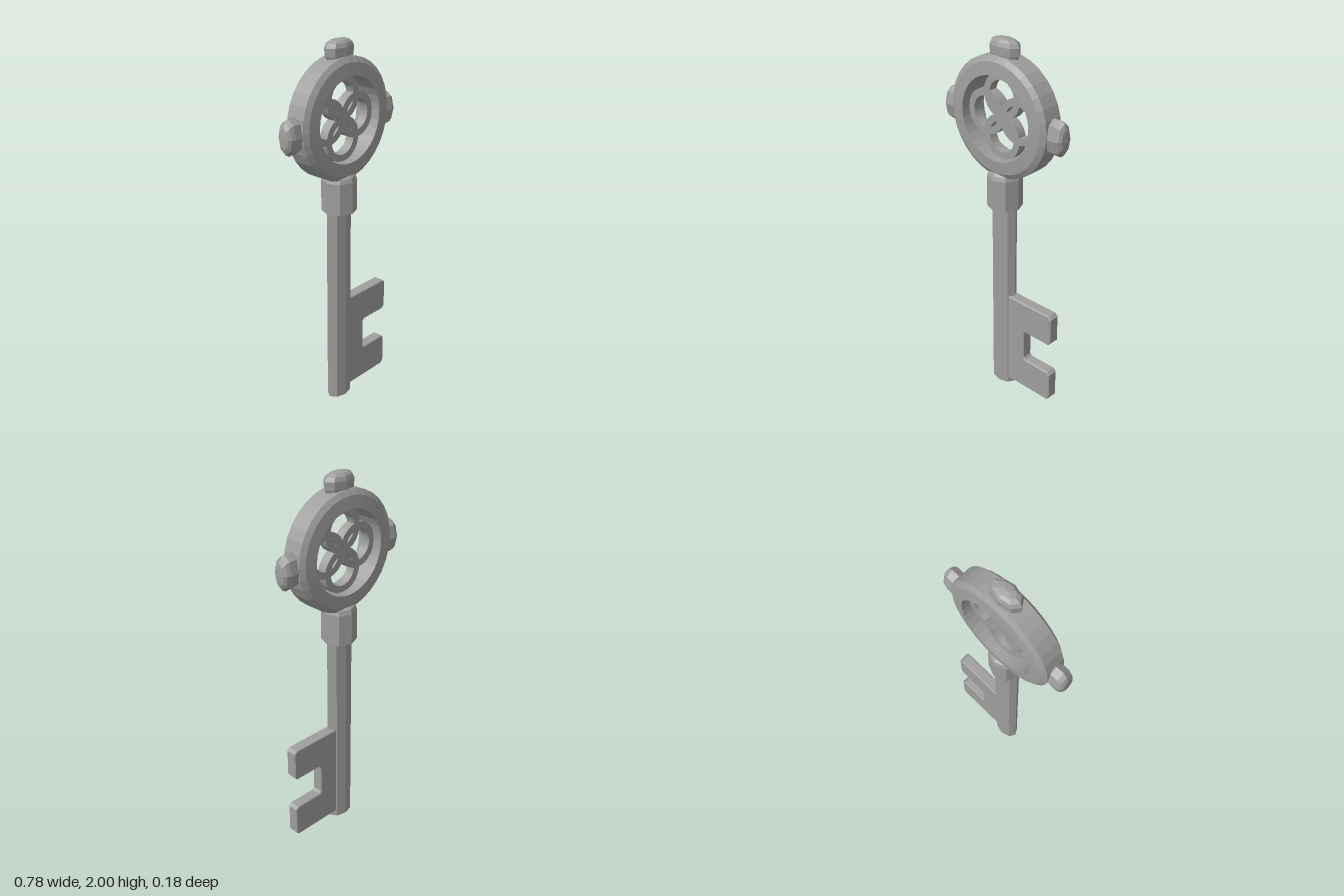
import * as THREE from 'three';

export function createModel() {
  const model = new THREE.Group();
  const material = new THREE.MeshStandardMaterial({ color: 0x9e9e9e, flatShading: true });
  const CENTER = 1.608; // height of the bow's centre

  const add = (name, geometry, parent = model) => {
    const mesh = new THREE.Mesh(geometry, material);
    mesh.name = name;
    parent.add(mesh);
    return mesh;
  };
  // Lathe from [radius, height] pairs
  const lathe = (points, sides) =>
    new THREE.LatheGeometry(points.map(([r, y]) => new THREE.Vector2(r, y)), sides);

  // Shaft: flattened octagonal rod
  const shaft = add('shaft', new THREE.CylinderGeometry(0.076, 0.076, 1.15, 8));
  shaft.scale.z = 0.66;
  shaft.position.set(-0.002, 0.575, 0);

  // Collar joining the shaft to the bow
  add('collar', lathe([[0, 1.118], [0.092, 1.118], [0.092, 1.285], [0.084, 1.308], [0.06, 1.325], [0, 1.332]], 8));

  // Bow: ring with gently sloping faces, closed profile turned to face the front
  const bow = new THREE.Group();
  bow.name = 'bow';
  bow.position.y = CENTER;
  model.add(bow);
  const ring = add('bowRing', lathe([
    [0.22, -0.076], [0.285, -0.069], [0.312, -0.052],
    [0.312, 0.052], [0.285, 0.069], [0.22, 0.076], [0.22, -0.076],
  ], 32), bow);
  ring.rotation.x = Math.PI / 2;

  // Tracery: four overlapping flat rings
  const circle = new THREE.Shape().absarc(0, 0, 0.118, 0, Math.PI * 2);
  circle.holes.push(new THREE.Path().absarc(0, 0, 0.081, 0, Math.PI * 2, true));
  const traceryGeometry = new THREE.ExtrudeGeometry(circle, { depth: 0.05, bevelEnabled: false, curveSegments: 20 });
  traceryGeometry.translate(0, 0, -0.025);
  for (let i = 0; i < 4; i++) {
    const a = i * Math.PI / 2;
    add('traceryRing', traceryGeometry, bow).position.set(Math.cos(a) * 0.105, Math.sin(a) * 0.105, 0);
  }

  // Studs: domed, flattened octagonal knobs on the top and both sides
  const studGeometry = lathe([[0, 0.285], [0.08, 0.285], [0.091, 0.315], [0.093, 0.355], [0.08, 0.375], [0.055, 0.387], [0, 0.392]], 8);
  studGeometry.scale(1, 1, 0.56);
  for (const [name, angle, y] of [['topStud', 0, 0], ['leftStud', -Math.PI / 2, -0.02], ['rightStud', Math.PI / 2, -0.02]]) {
    const stud = add(name, studGeometry, bow);
    stud.rotation.z = angle;
    stud.position.y = y;
  }

  // Bit: notched plate with clipped corners and a fine bevel
  const b = 0.005, c = 0.014;
  const right = 0.354 - b, notch = 0.168 - b;
  const [y0, y1, y2, y3] = [0.035 + b, 0.223 - b, 0.405 + b, 0.588 - b];
  const outline = [
    [0, y0], [right - c, y0], [right, y0 + c], [right, y1 - c], [right - c, y1],
    [notch + c, y1], [notch, y1 + c], [notch, y2 - c], [notch + c, y2],
    [right - c, y2], [right, y2 + c], [right, y3 - c], [right - c, y3], [0, y3],
  ].map(([x, y]) => new THREE.Vector2(x, y));
  const bit = new THREE.ExtrudeGeometry(new THREE.Shape(outline), {
    depth: 0.052, bevelThickness: b, bevelSize: b, bevelSegments: 1,
  });
  bit.translate(0, 0, -0.026);
  add('bit', bit);

  return model;
}
